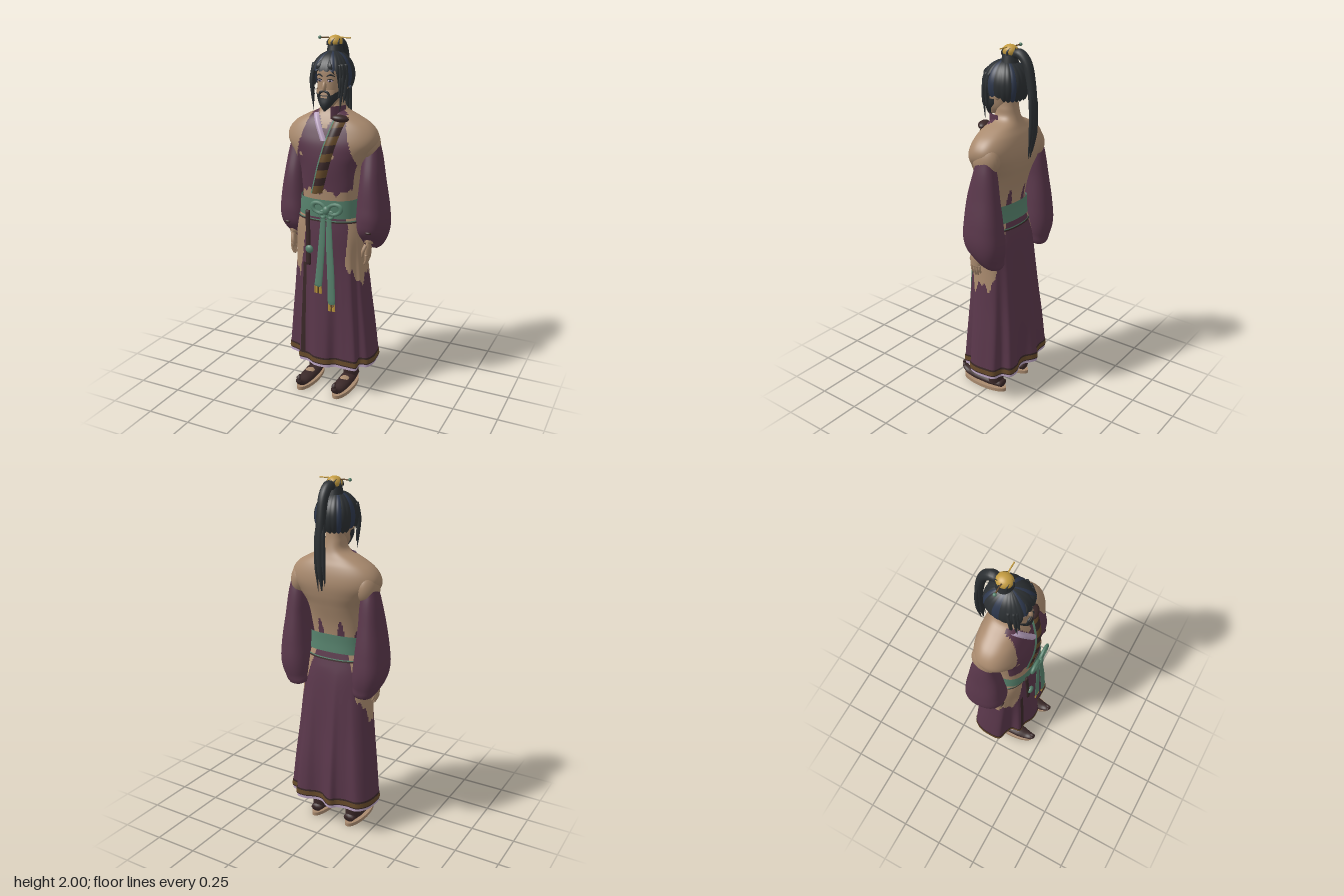
import * as THREE from 'three';
import { mergeVertices } from 'three/addons/utils/BufferGeometryUtils.js';

const mat = (name, color) => new THREE.MeshStandardMaterial({ name, color, side: THREE.DoubleSide });
const V = (x, y, z) => new THREE.Vector3(x, y, z);
const { lerp, smoothstep, clamp } = THREE.MathUtils;
const PI = Math.PI;

// Surface from f(u, v); rule(point, u, v) picks a material index per quad
function grid(name, nu, nv, f, mats, rule = () => 0) {
  const list = [].concat(mats), pos = [], faces = list.map(() => []);
  for (let j = 0; j <= nv; j++) for (let i = 0; i <= nu; i++) pos.push(...f(i / nu, j / nv).toArray());
  for (let j = 0; j < nv; j++) for (let i = 0; i < nu; i++) {
    const a = j * (nu + 1) + i, d = a + nu + 1, u = (i + 0.5) / nu, v = (j + 0.5) / nv;
    faces[rule(f(u, v), u, v)].push(a, a + 1, d + 1, a, d + 1, d);
  }
  let geo = new THREE.BufferGeometry();
  geo.setAttribute('position', new THREE.Float32BufferAttribute(pos, 3));
  geo.setIndex(faces.flat());
  let start = 0;
  faces.forEach((q, k) => { if (q.length) geo.addGroup(start, q.length, k); start += q.length; });
  geo = mergeVertices(geo);
  geo.computeVertexNormals();
  const mesh = new THREE.Mesh(geo, list.length > 1 ? list : list[0]);
  mesh.name = name;
  return mesh;
}

// Cross-section profile: rows of [y, xMin, xMax, zFront, zBack]
function profile(rows) {
  const cubic = new THREE.CubicInterpolant(rows.map(r => r[0]), rows.flatMap(r => r.slice(1)), 4, new Array(4));
  return y => [...cubic.evaluate(clamp(y, rows[0][0], rows[rows.length - 1][0]))];
}
const symmetric = rows => profile(rows.map(([y, h, f, b]) => [y, -h, h, f, b]));
const soft = v => Math.sign(v) * Math.abs(v) ** 0.85;
function ring(prof, a, y, s = 1) {
  const [xa, xb, zf, zb] = prof(y);
  return V((xa + xb) / 2 + soft(Math.sin(a)) * (xb - xa) / 2 * s, y, (zf + zb) / 2 + soft(Math.cos(a)) * (zf - zb) / 2 * s);
}
// Front depth of a symmetric profile at x, y
function frontZ(prof, x, y) {
  const [, h, zf, zb] = prof(y), s = Math.min(1, Math.abs(x) / h) ** (1 / 0.85);
  return (zf + zb) / 2 + Math.sqrt(1 - s * s) ** 0.85 * (zf - zb) / 2;
}
const angle = u => (u * 2 - 1) * PI;
const loft = (name, prof, y0, y1, nu, nv, mats, rule) =>
  grid(name, nu, nv, (u, v) => ring(prof, angle(u), lerp(y0, y1, v)), mats, rule);

// Tapered tube with capped ends; flat squeezes it along ref
function tube(name, pts, radii, mats, { flat = 1, ref = V(0, 0, 1), n = 24, sides = 10 } = {}) {
  const curve = new THREE.CatmullRomCurve3(pts.map(p => V(...p)));
  return grid(name, sides, n, (u, v) => {
    const t = clamp((v * n - 1) / (n - 2), 0, 1), k = t * (radii.length - 1), i = Math.min(Math.floor(k), radii.length - 2);
    const r = v === 0 || v === 1 ? 0 : lerp(radii[i], radii[i + 1], k - i);
    const T = curve.getTangent(t), B = T.clone().cross(ref).normalize(), N = B.clone().cross(T);
    return curve.getPoint(t).addScaledVector(N, Math.cos(u * 2 * PI) * r * flat).addScaledVector(B, Math.sin(u * 2 * PI) * r);
  }, mats);
}
function place(name, geo, m, p, s = [1, 1, 1], r = [0, 0, 0]) {
  const mesh = new THREE.Mesh(geo, m);
  mesh.name = name; mesh.position.set(...p); mesh.scale.set(...s); mesh.rotation.set(...r);
  return mesh;
}

export function createModel() {
  const model = new THREE.Group();
  model.name = 'robedMan';
  const plum = mat('plumCloth', 0x5a374b), skin = mat('skin', 0xa98a6e), hair = mat('blackHair', 0x2b2f32),
    blue = mat('blueHair', 0x2d374c), jade = mat('jade', 0x56816c), gold = mat('gold', 0xc49c40),
    brown = mat('brownTrim', 0x664a2a), dark = mat('darkLeather', 0x3a2828), lilac = mat('lilacLining', 0xb9a2c0);
  const ball = new THREE.SphereGeometry(1, 28, 20);
  const add = (...m) => model.add(...m);

  // Torso and sloping shoulders, with a torn top on the front and a bare back
  const torso = symmetric([[1, .155, .105, -.09], [1.12, .152, .11, -.088], [1.22, .16, .115, -.1], [1.33, .178, .122, -.13], [1.39, .215, .12, -.148],
    [1.45, .255, .112, -.157], [1.5, .253, .097, -.152], [1.55, .212, .078, -.137], [1.585, .15, .06, -.12], [1.62, .075, .04, -.105], [1.68, .053, .02, -.09], [1.75, .05, .01, -.085]]);
  add(loft('torso', torso, 1, 1.74, 144, 110, [skin, plum], (p, u) => {
    const a = angle(u);
    if (Math.cos(a) < 0) return p.y < 1.13 + .13 * Math.max(0, Math.cos(9 * a)) * -Math.cos(a) ? 1 : 0;
    const limit = Math.min(.95 * torso(p.y)[1], lerp(.172, .1, clamp((p.y - 1.36) / .24, 0, 1)));
    const hem = 1.19 + .012 * Math.sin(p.x * 60) + .008 * Math.sin(p.x * 140);
    const vNeck = p.y > 1.52 && Math.abs(p.x) < (p.y - 1.52) * .6;
    const tear = Math.abs(p.y - 1.385) < .009 && Math.min(Math.abs(p.x + .135), Math.abs(p.x - .06)) < .01;
    return Math.abs(p.x) < limit && p.y > hem && p.y < 1.62 && !vNeck && !tear ? 1 : 0;
  }));

  // Strips lying on the chest from p0 (low) to p1 (high)
  const strip = (name, p0, p1, w, lift, mats, rule) => add(grid(name, 14, 54, (u, v) => {
    const x = lerp(p0[0], p1[0], v) + (u - .5) * w, y = lerp(p0[1], p1[1], v) + (u - .5) * w * .15;
    return V(x, y, frontZ(torso, x, y) + .003 + lift * Math.sin(PI * u));
  }, mats, rule));
  strip('chestBand', [-.035, 1.18], [.08, 1.585], .073, .014, [brown, dark, jade], (p, u, v) => u < .14 ? 2 : Math.floor(v * 9) % 2);
  strip('collarStrip', [.005, 1.47], [-.07, 1.605], .032, .01, lilac);
  add(place('bandEnd', ball, dark, [.08, 1.585, .062], [.046, .02, .03], [0, .3, -.1]));
  add(grid('standingCollar', 20, 6, (u, v) => ring(torso, lerp(.3, 1.5, u), 1.63, 1.15)
    .setY(lerp(1.58, 1.645, v)).add(V(0, 0, .022 * (1 - u))), plum));

  // Long skirt: an oval waist opening into a folded hem, with bare hips
  const skirtShape = symmetric([[.16, .265, .155, -.2], [.4, .243, .145, -.185], [.6, .222, .135, -.165], [.8, .205, .124, -.145],
    [.95, .198, .12, -.125], [1.03, .18, .115, -.108], [1.07, .163, .112, -.1]]);
  const folds = new THREE.CatmullRomCurve3([[0, .16], [.04, .155], [.08, .128], [.14, .128], [.21, .12], [.208, .065], [.25, .05], [.268, 0], [.265, -.06],
    [.252, -.12], [.2, -.14], [.18, -.185], [.12, -.19], [.06, -.168], [.02, -.168], [-.03, -.2], [-.06, -.208], [-.09, -.182], [-.14, -.168], [-.21, -.165],
    [-.25, -.12], [-.265, -.05], [-.255, .03], [-.2, .05], [-.162, .07], [-.15, .12], [-.09, .128], [-.04, .155]].map(([x, z]) => V(x, 0, z)), true);
  const foldAngle = h => Math.atan2(h.x / .265, (h.z + .02) / .18);
  const skirtPoint = (u, y, s = 1) => {
    const h = folds.getPoint(u), [, w, zf, zb] = skirtShape(y), zc = (zf + zb) / 2;
    const folded = V(h.x * w / .265, y, zc + (h.z + .022) * (zf - zb) / .355);
    const p = ring(skirtShape, foldAngle(h), y).lerp(folded, clamp((.98 - y) / .76, 0, 1));
    return V(p.x * s, y, zc + (p.z - zc) * s);
  };
  add(grid('skirt', 196, 110, (u, v) => skirtPoint(u, lerp(.18, 1.07, v)), [plum, skin], (p, u) => {
    const a = foldAngle(folds.getPoint(u)), deg = Math.abs(a * 180 / PI);
    const front = a > 0 ? lerp(24, 44, clamp((p.y - .78) / .22, 0, 1)) : 25, back = a > 0 ? 152 : 148;
    const d = Math.abs(deg - (front + back) / 2) / ((back - front) / 2);
    const low = .7 + .13 * smoothstep(deg, 95, 140) + .34 * d ** 6 + .03 * Math.sin(9 * a) + .015 * Math.sin(23 * a);
    return d < 1 && p.y > low ? 1 : 0;
  }));
  const hem = (name, y0, y1, s, m) => add(grid(name, 196, 2, (u, v) => skirtPoint(u, lerp(y0, y1, v), s), m));
  hem('hemLining', .163, .19, .985, lilac);
  hem('hemEdge', .18, .222, 1.006, dark);
  hem('hemTrim', .187, .212, 1.014, brown);
  hem('hipCord', 1.03, 1.036, 1.02, jade);
  hem('hipCordEdge', 1.022, 1.03, 1.015, dark);
  add(grid('skirtEdge', 4, 40, (u, v) => skirtPoint(lerp(.902, .919, u), lerp(.22, .77, v), 1.014), dark));

  // Sash, bow and hanging ribbons
  const waist = symmetric([[1.05, .172, .126, -.108], [1.1, .168, .126, -.104], [1.15, .165, .124, -.104]]);
  add(grid('sash', 72, 8, (u, v) => {
    const p = ring(waist, angle(u), lerp(1.05, 1.15, v));
    p.y += .02 * Math.max(0, -Math.cos(angle(u)));
    return p;
  }, jade));
  for (const s of [-1, 1]) {
    add(place('bowLoop', new THREE.TorusGeometry(.03, .011, 10, 28), jade, [.037 + s * .046, 1.108, .137], [1.3, .9, .9], [0, 0, s * .3]));
    add(place('bowTail', new THREE.TorusGeometry(.018, .008, 8, 24), jade, [.037 + s * .022, 1.075, .137]));
  }
  add(place('bowKnot', ball, jade, [.037, 1.1, .142], [.02, .024, .016]));
  for (const [x0, x1, y1] of [[.018, -.006, .66], [.05, .076, .565]]) {
    add(tube('ribbon', [[x0, 1.08, .137], [lerp(x0, x1, .3), .9, .146], [lerp(x0, x1, .7), .75, .152], [x1, y1, .157]],
      [.014, .02, .022, .023], jade, { flat: .25 }));
    for (let i = -2; i <= 2; i++)
      add(place('tassel', new THREE.CylinderGeometry(.0035, .0045, .045, 6), i ? gold : brown, [x1 + i * .009, y1 - .018, .157]));
  }
  add(tube('hangingStrap', [[-.085, 1.08, .122], [-.08, .93, .128], [-.076, .77, .134]], [.013, .013, .014], dark, { flat: .6 }));
  add(place('jadeBead', ball, jade, [-.066, .865, .142], [.023, .023, .014]));

  // Arms, sleeves, hands, legs and shoes, built on the left and mirrored
  const sleeveShape = profile([[.862, .195, .25, .0, -.09], [.88, .152, .268, .012, -.132], [.93, .138, .302, .055, -.152], [1, .138, .32, .068, -.165],
    [1.1, .148, .315, .062, -.157], [1.25, .163, .292, .045, -.135], [1.38, .172, .272, .012, -.115], [1.44, .19, .258, -.005, -.1]]);
  for (const s of [1, -1]) {
    const side = new THREE.Group();
    side.name = s > 0 ? 'leftLimbs' : 'rightLimbs';
    side.scale.x = s;
    side.add(place('shoulder', ball, skin, [.2, 1.445, -.045], [.06, .09, .08], [0, 0, .1]));
    side.add(grid('sleeve', 48, 44, (u, v) => {
      const p = ring(sleeveShape, angle(u), lerp(.862, 1.44, v));
      p.y += (p.z + .04) * .4 * (1 - v) ** 2;
      return p;
    }, plum));
    side.add(place('cuffMark', ball, dark, [.245, .975, .058], [.018, .008, .01]));
    side.add(tube('arm', [[.215, 1.44, -.05], [.225, 1.2, -.05], [.228, 1, -.01], [.23, .9, .008]], [.045, .045, .036, .025], skin));
    side.add(tube('palm', [[.23, .93, .006], [.231, .88, .012], [.228, .835, .014]], [.022, .032, .033], skin, { flat: .45, ref: V(1, 0, 0) }));
    for (let i = 0; i < 4; i++) {
      const z = .038 - i * .0165, len = [.055, .063, .06, .045][i];
      side.add(tube('finger', [[.228, .845, z], [.227, .845 - len * .6, z], [.217, .84 - len, z]], [.009, .008, .005], skin, { n: 10, sides: 8 }));
    }
    side.add(tube('thumb', [[.225, .9, .035], [.215, .865, .053], [.208, .83, .05]], [.011, .01, .006], skin, { n: 10, sides: 8 }));
    side.add(place('leg', new THREE.CylinderGeometry(.058, .044, .5, 24), dark, [.112, .3, -.032]));
    side.add(place('sole', new THREE.CylinderGeometry(1, 1, 1, 32), skin, [.114, .011, .045], [.051, .02, .15]));
    side.add(tube('shoe', [[.112, .045, -.085], [.112, .045, 0], [.112, .042, .1], [.112, .04, .165], [.112, .062, .2], [.112, .092, .203], [.112, .098, .185]],
      [.032, .044, .042, .028, .018, .011, .006], dark, { flat: .65, ref: V(0, 1, 0), sides: 16 }));
    side.add(place('instep', ball, skin, [.112, .062, .055], [.028, .012, .035]));
    add(side);
  }

  // Head, face and beard
  const skull = symmetric([[1.635, .022, .075, .01], [1.67, .046, .08, -.04], [1.72, .062, .082, -.075], [1.78, .07, .082, -.1], [1.85, .068, .076, -.1], [1.9, .04, .04, -.07]]);
  add(loft('head', skull, 1.635, 1.9, 48, 32, skin));
  add(place('nose', ball, skin, [0, 1.75, .085], [.011, .026, .014], [-.2, 0, 0]));
  const beardShape = symmetric([[1.62, .004, .088, .075], [1.65, .03, .098, .03], [1.69, .056, .093, -.015], [1.735, .067, .085, -.03]]);
  add(loft('beard', beardShape, 1.62, 1.732, 48, 24, [hair, skin], p => {
    const edge = 1.705 + .6 * Math.max(0, Math.abs(p.x) - .035);
    const mouth = Math.abs(p.x) < .018 && p.y > 1.69 && p.y < 1.7;
    return p.y > edge || mouth ? 1 : 0;
  }));
  for (const s of [-1, 1]) {
    const z = frontZ(skull, .03, 1.78);
    add(place('eyeWhite', ball, lilac, [s * .03, 1.778, z], [.014, .006, .004], [0, s * .25, 0]));
    add(place('iris', ball, hair, [s * .029, 1.778, z + .003], [.006, .006, .003]));
    add(tube('eyelid', [[s * .014, 1.782, z + .005], [s * .03, 1.787, z + .003], [s * .046, 1.78, z - .006]], [.002, .003, .002], hair, { n: 10, sides: 6 }));
    add(tube('brow', [[s * .012, 1.8, z + .006], [s * .032, 1.81, z + .002], [s * .052, 1.8, z - .01]], [.003, .005, .002], hair, { n: 10, sides: 6 }));
    add(tube('moustache', [[s * .002, 1.726, .092], [s * .022, 1.718, .089], [s * .036, 1.685, .084]], [.005, .007, .004], hair, { n: 12, sides: 8 }));
    add(place('ear', ball, skin, [s * .078, 1.755, -.022], [.012, .03, .018]));
    // Loose locks framing the face
    for (const [x, z0, low, r] of [[.083, .042, 1.62, .012], [.092, .018, 1.66, .013], [.076, .055, 1.69, .008]])
      add(tube('sideLock', [[s * x * .95, 1.86, z0], [s * (x + .005), 1.78, z0 + .012], [s * x, 1.7, z0 + .014], [s * x * .9, low, z0 + .016]],
        [r, r, r * .7, .001], hair, { flat: .8 }));
    add(tube('fringeLock', [[s * .01, 1.885, .058], [s * .032, 1.852, .087], [s * .054, 1.81, .078]], [.01, .014, .001], hair, { flat: .4 }));
  }

  // Combed hair with alternating strands
  add(grid('hairCap', 144, 28, (u, v) => {
    const a = angle(u), b = Math.abs(a), groove = Math.abs(Math.sin(a * 12));
    const low = lerp(1.835, 1.73, smoothstep(b, .55, .8)) + .022 * smoothstep(b, 1.1, 1.4) * (1 - smoothstep(b, 1.7, 2)) - .01 * groove;
    const y = lerp(low, 1.925, Math.sin(v * PI / 2)), h = (y - 1.8) / .125;
    const r = (h > 0 ? Math.sqrt(Math.max(0, 1 - h * h)) : 1 - .5 * h * h) * (.98 + .02 * groove);
    return V(soft(Math.sin(a)) * .11 * r, y, -.022 + soft(Math.cos(a)) * .124 * r);
  }, [hair, blue], (p, u) => [2, 5, 10, 13, 17, 21].includes(Math.floor(u * 24)) ? 1 : 0));

  // Topknot, hairpin and ponytail
  add(place('topknotBase', new THREE.CylinderGeometry(.036, .046, .05, 24), hair, [0, 1.935, -.045]));
  add(place('topknotCap', ball, gold, [0, 1.966, -.047], [.04, .034, .043]));
  for (let i = 0; i < 7; i++) {
    const a = i * PI / 3.5, c = Math.sin(a), d = Math.cos(a);
    add(tube('topknotStrand', [[c * .04, 1.95, -.047 + d * .043], [c * .04, 1.968, -.047 + d * .043], [Math.sin(a + .4) * .033, 1.986, -.047 + Math.cos(a + .4) * .035]],
      [.007, .005, .001], hair, { n: 10, sides: 6, ref: V(c, .3, d) }));
  }
  const rod = new THREE.CylinderGeometry(.0035, .0035, .09, 8);
  add(place('pinShaft', rod, brown, [-.045, 1.985, -.047], [1, 1, 1], [0, 0, PI / 2]));
  add(place('pinTip', rod, gold, [.043, 1.988, -.047], [1, 1, 1], [0, 0, PI / 2]));
  add(place('pinBead', ball, jade, [-.09, 1.985, -.047], [.009, .009, .009]));
  const tail = { flat: 1.1, ref: V(1, 0, 0), n: 36, sides: 14 };
  add(tube('ponytail', [[0, 1.945, -.06], [0, 1.958, -.105], [0, 1.92, -.148], [0, 1.82, -.177], [0, 1.68, -.191], [0, 1.54, -.188], [0, 1.43, -.177]],
    [.02, .026, .025, .023, .021, .017, .003], hair, tail));
  for (const s of [-1, 0, 1])
    add(tube('tailStrand', [[s * .012, 1.86, -.17], [s * .018, 1.72, -.192], [s * .022, 1.56, -.192], [s * .02, 1.44 - s * .015, -.178]],
      [.004, .012, .01, .001], s ? hair : blue, { ...tail, n: 20, sides: 8 }));
  return model;
}
